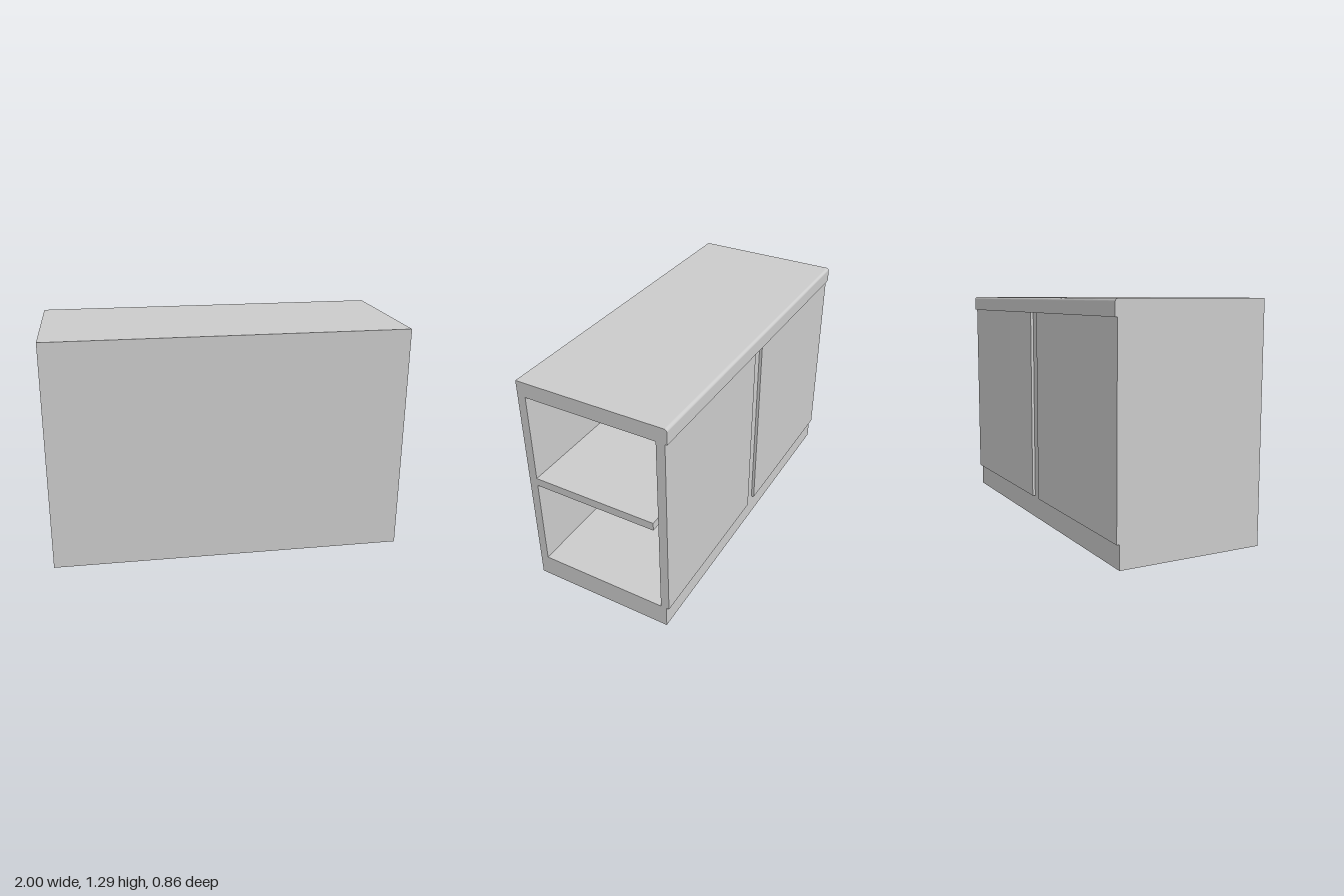
import * as THREE from 'three';

export function createModel() {
  const cabinet = new THREE.Group();
  cabinet.name = 'cabinet';
  const material = new THREE.MeshStandardMaterial({ color: 0xcccccc, flatShading: true });

  // Box given by its limits on each axis
  function panel(name, [x0, x1], [y0, y1], [z0, z1]) {
    const mesh = new THREE.Mesh(new THREE.BoxGeometry(x1 - x0, y1 - y0, z1 - z0), material);
    mesh.position.set((x0 + x1) / 2, (y0 + y1) / 2, (z0 + z1) / 2);
    mesh.name = name;
    cabinet.add(mesh);
  }

  const floorY = 0.13, topY = 1.21, height = 1.295;
  const front = 0.428, back = -0.4;
  const innerFront = 0.38, innerBack = -0.367;
  const walls = [floorY, topY];

  // Carcass, open at the +x end
  panel('base', [-1, 1], [0, floorY], [back, front]);
  panel('frontPanel', [-1, 1], walls, [innerFront, front]);
  panel('doorFrame', [-1, 1], walls, [back, innerBack]);
  panel('closedEndPanel', [-1, -0.95], walls, [innerBack, innerFront]);

  // Shelf stops short of the door frame
  panel('shelf', [-0.95, 1], [0.655, 0.702], [-0.337, innerFront]);

  // Pair of overlay doors on the back
  panel('leftDoor', [0.042, 1], walls, [-0.416, back]);
  panel('rightDoor', [-1, -0.042], walls, [-0.416, back]);

  // Countertop: side profile with a rounded upper edge over the doors
  const lip = -0.428, r = 0.016;
  const profile = new THREE.Shape();
  profile.moveTo(-front, topY);
  profile.lineTo(-lip, topY);
  profile.lineTo(-lip, height - r);
  profile.absarc(-lip - r, height - r, r, 0, Math.PI / 2, false);
  profile.lineTo(-front, height);
  profile.closePath();
  const slab = new THREE.ExtrudeGeometry(profile, { depth: 2, bevelEnabled: false, curveSegments: 8 });
  slab.translate(0, 0, -1);
  slab.rotateY(Math.PI / 2);
  const countertop = new THREE.Mesh(slab, material);
  countertop.name = 'countertop';
  cabinet.add(countertop);

  return cabinet;
}
